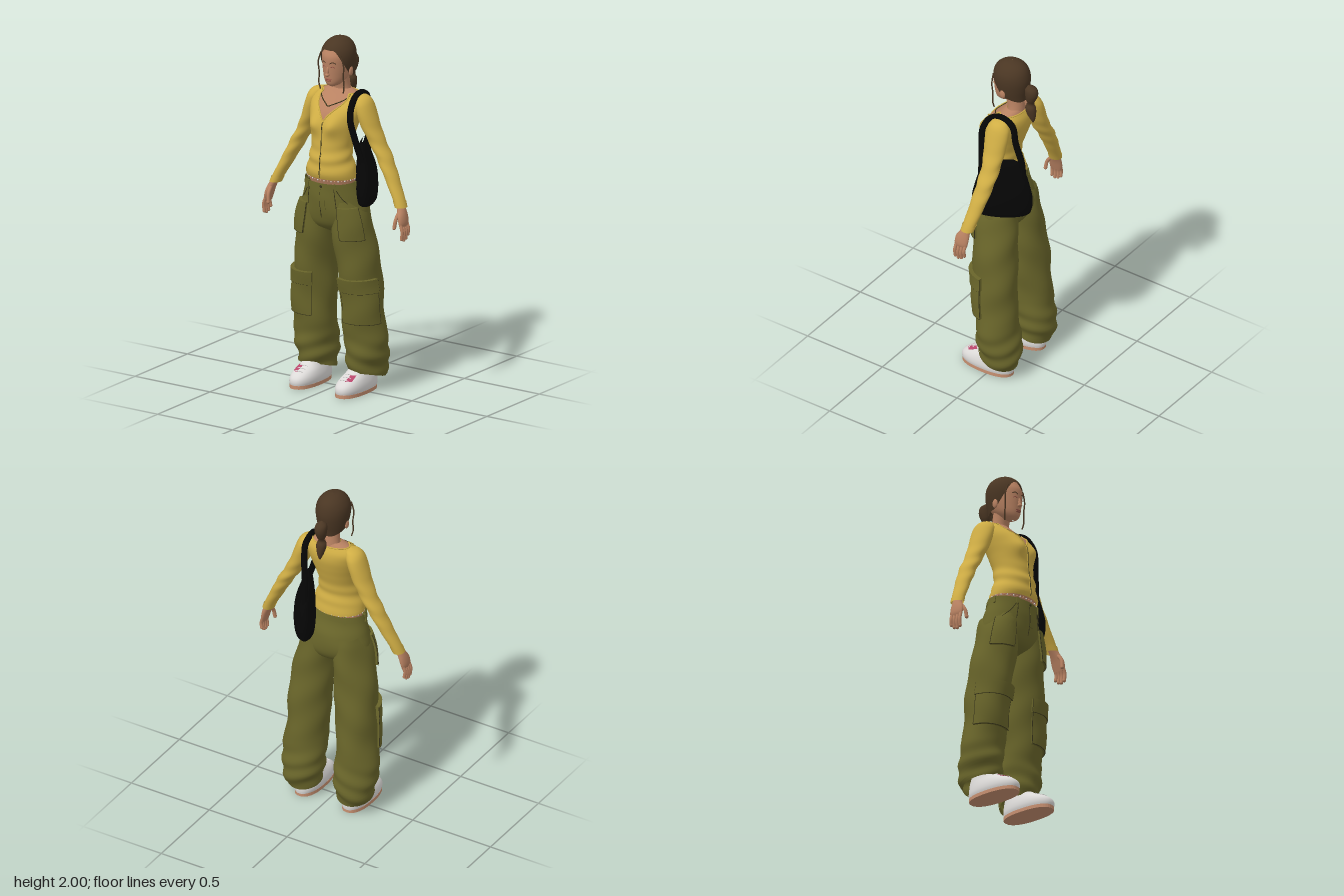
import * as THREE from 'three';
import { mergeVertices, toCreasedNormals } from 'three/addons/utils/BufferGeometryUtils.js';

const PI = Math.PI;
const V = (x, y, z) => new THREE.Vector3(x, y, z);
const mat = (name, color, side = THREE.FrontSide) => {
  const m = new THREE.MeshStandardMaterial({ color, side });
  m.name = name;
  return m;
};

// Smooth interpolation of rings [y, cx, cz, rx, rz], ordered by rising y
function sample(R, y) {
  let i = 0;
  while (i < R.length - 2 && y > R[i + 1][0]) i++;
  const p = R[i], q = R[i + 1], h = q[0] - p[0];
  const t = Math.min(1, Math.max(0, (y - p[0]) / h)), t2 = t * t, t3 = t2 * t;
  const slope = (j, k) => {
    const a = R[Math.max(j - 1, 0)], b = R[Math.min(j + 1, R.length - 1)];
    return (b[k] - a[k]) / (b[0] - a[0]);
  };
  return [1, 2, 3, 4].map(k => (2 * t3 - 3 * t2 + 1) * p[k] + (t3 - 2 * t2 + t) * h * slope(i, k)
    + (3 * t2 - 2 * t3) * q[k] + (t3 - t2) * h * slope(i + 1, k));
}

// Surface S(angle from the front, height, offset); fold adds cloth waves
function surf(R, { side = 1, fold = () => 0, bulge = () => 0, power = 1 } = {}) {
  const pw = v => Math.sign(v) * Math.abs(v) ** power;
  return (a, y, off = 0) => {
    const [cx, cz, rx, rz] = sample(R, y), o = off + fold(a * side, y);
    const x = cx * side + pw(Math.sin(a)) * Math.max(0.001, rx + o);
    const z = cz + pw(Math.cos(a)) * Math.max(0.001, rz + o);
    return V(x, y, z + (Math.cos(a) > 0 ? bulge(x, y) * Math.cos(a) : 0));
  };
}

function grid(na, ny, point) {
  const pos = [], idx = [];
  for (let j = 0; j <= ny; j++) for (let i = 0; i <= na; i++) pos.push(...point(i, j).toArray());
  for (let j = 0; j < ny; j++) for (let i = 0; i < na; i++) {
    const a = j * (na + 1) + i, b = a + 1, c = b + na + 1, d = a + na + 1;
    idx.push(a, b, c, a, c, d);
  }
  const g = new THREE.BufferGeometry();
  g.setAttribute('position', new THREE.Float32BufferAttribute(pos, 3));
  g.setIndex(idx);
  return g;
}

// Full wrap of a surface between two heights (numbers or functions of the angle)
function wrap(S, lo, hi, { na = 40, ny = 24, off = 0, dome = false } = {}) {
  const f = v => (typeof v === 'function' ? v : () => v);
  const g = mergeVertices(grid(na, ny, (i, j) => {
    const a = -PI + 2 * PI * i / na, v = j / ny, e = dome ? 1 - (1 - v) ** 2 : v;
    return S(a, f(lo)(a) + (f(hi)(a) - f(lo)(a)) * e, off);
  }), 1e-5);
  g.computeVertexNormals();
  return g;
}

// Raised patch with walls, lying on a surface
function pad(S, a0, a1, y0, y1, off, na = 16, ny = 12) {
  const c = (i, n) => Math.min(1, Math.max(0, (i - 1) / (n - 2)));
  return toCreasedNormals(grid(na, ny, (i, j) => {
    const edge = i === 0 || j === 0 || i === na || j === ny;
    return S(a0 + (a1 - a0) * c(i, na), y0 + (y1 - y0) * c(j, ny), edge ? -0.006 : off);
  }), 0.7);
}

const tube = (pts, r, n = 24) => new THREE.TubeGeometry(new THREE.CatmullRomCurve3(pts), n, r, 8);
const line = (S, pts, off, r = 0.002) => tube(pts.map(([a, y]) => S(a, y, off)), r);

export function createModel() {
  const model = new THREE.Group();
  const D = THREE.DoubleSide;
  const skin = mat('skin', 0xb98262), hair = mat('hair brown', 0x4a3623, D), knit = mat('mustard knit', 0xd0ae45, D);
  const olive = mat('olive cloth', 0x69652a, D), seam = mat('dark seam', 0x37341a), black = mat('black fabric', 0x060606);
  const white = mat('off white', 0xdcdad8), tan = mat('tan sole', 0xc68f70), pink = mat('pink', 0xb9476c), lip = mat('lips', 0x9a5a4a);
  const add = (name, geo, m) => {
    const mesh = new THREE.Mesh(geo, m);
    mesh.name = name;
    model.add(mesh);
    return mesh;
  };
  const blob = (name, m, p, s) => {
    const mesh = add(name, new THREE.SphereGeometry(1, 20, 14), m);
    mesh.position.set(...p);
    mesh.scale.set(...s);
    return mesh;
  };

  // Torso, cardigan and neck
  const bust = (x, y) => 0.036 * Math.exp(-(((Math.abs(x) - 0.065) / 0.05) ** 2) - ((y - 1.525) / 0.05) ** 2);
  const torsoRings = [
    [1.14, 0, 0.03, 0.14, 0.1], [1.21, 0, 0.042, 0.147, 0.112], [1.25, 0, 0.05, 0.148, 0.118], [1.32, 0, 0.055, 0.128, 0.11],
    [1.4, 0, 0.048, 0.117, 0.105], [1.48, 0, 0.032, 0.13, 0.113], [1.54, 0, 0.016, 0.146, 0.117], [1.6, 0, -0.002, 0.16, 0.114],
    [1.65, 0, -0.026, 0.16, 0.088], [1.685, 0, -0.037, 0.12, 0.062], [1.705, 0, -0.042, 0.065, 0.048]];
  const body = surf(torsoRings, { bulge: bust });
  const knitTorso = surf(torsoRings, {
    bulge: bust,
    fold: (a, y) => 0.004 * Math.sin(75 * y + 2 * Math.cos(a)) * Math.exp(-(((y - 1.33) / 0.07) ** 2)) });
  const neckline = a => 1.55 + 0.138 * Math.min(1, Math.abs(a) / 0.8) ** 0.9;
  add('torso', wrap(body, 1.14, 1.705, { off: -0.006, ny: 40 }), skin);
  add('cardigan', wrap(knitTorso, 1.232, neckline, { na: 64, ny: 44 }), knit);
  add('cardiganNeckTrim', tube(Array.from({ length: 49 }, (_, i) => {
    const a = -PI + 2 * PI * i / 48;
    return knitTorso(a, neckline(a));
  }), 0.004, 120), knit);
  add('cardiganHem', wrap(knitTorso, 1.225, 1.25, { off: 0.004, ny: 4 }), knit);
  add('cardiganPlacket', pad(knitTorso, -0.035, 0.035, 1.235, 1.55, 0.003, 6, 40), knit);
  add('cardiganClosure', line(knitTorso, Array.from({ length: 20 }, (_, i) => [0, 1.235 + i * 0.0163]), 0.003, 0.0025), seam);
  add('necklace', line(body, Array.from({ length: 17 }, (_, i) => {
    const u = i / 8 - 1;
    return [u * 0.9, 1.622 + 0.062 * Math.abs(u)];
  }), -0.004, 0.0028), seam);
  for (let i = 0; i < 44; i++) {
    const p = body(i / 44 * 2 * PI, 1.221 - 0.006 * Math.cos(i / 44 * 2 * PI), 0.001);
    const bead = add('waistChainBead', new THREE.SphereGeometry(0.0045, 6, 5), i % 2 ? white : tan);
    bead.position.copy(p);
  }
  const neck = surf([[1.66, 0, -0.043, 0.064, 0.052], [1.7, 0, -0.045, 0.053, 0.046], [1.74, 0, -0.038, 0.049, 0.047], [1.8, 0, -0.025, 0.05, 0.05]]);
  add('neck', wrap(neck, 1.66, 1.8, { ny: 10 }), skin);

  // Head and face
  const head = surf([
    [1.726, 0, 0.045, 0.004, 0.006], [1.734, 0, 0.036, 0.028, 0.036], [1.76, 0, 0.018, 0.054, 0.064], [1.8, 0, -0.001, 0.07, 0.088],
    [1.85, 0, -0.009, 0.079, 0.1], [1.9, 0, -0.012, 0.084, 0.103], [1.93, 0, -0.016, 0.079, 0.094], [1.96, 0, -0.018, 0.063, 0.077],
    [1.98, 0, -0.02, 0.04, 0.05], [1.99, 0, -0.02, 0.002, 0.002]]);
  add('head', wrap(head, 1.726, 1.99, { ny: 40, dome: true }), skin);
  blob('noseTip', skin, [0, 1.803, 0.094], [0.012, 0.01, 0.014]);
  blob('noseBridge', skin, [0, 1.826, 0.089], [0.008, 0.028, 0.011]).rotation.x = -0.2;
  blob('upperLip', lip, [0, 1.776, 0.085], [0.02, 0.0045, 0.007]);
  blob('lowerLip', lip, [0, 1.768, 0.083], [0.017, 0.005, 0.008]);
  for (const s of [1, -1]) {
    add('eyebrow', line(head, [[0.16 * s, 1.868], [0.38 * s, 1.876], [0.58 * s, 1.868]], 0, 0.0025), hair);
    add('eyelid', line(head, [[0.2 * s, 1.845], [0.36 * s, 1.85], [0.52 * s, 1.844]], -0.001, 0.0032), lip);
    blob('ear', skin, [0.084 * s, 1.815, -0.012], [0.009, 0.027, 0.017]);
    add('looseStrand', tube([V(0.066 * s, 1.915, 0.062), V(0.084 * s, 1.86, 0.06), V(0.08 * s, 1.79, 0.056), V(0.084 * s, 1.74, 0.055), V(0.076 * s, 1.7, 0.05)], 0.004), hair);
  }

  // Hair, combed back into a banded tail
  const hairCap = surf([
    [1.75, 0, -0.05, 0.06, 0.055], [1.79, 0, -0.025, 0.077, 0.085], [1.84, 0, -0.017, 0.088, 0.103], [1.89, 0, -0.015, 0.093, 0.11],
    [1.93, 0, -0.016, 0.088, 0.103], [1.96, 0, -0.018, 0.073, 0.088], [1.98, 0, -0.02, 0.054, 0.066], [1.993, 0, -0.02, 0.032, 0.038], [2, 0, -0.02, 0.001, 0.001]]);
  const hairline = a => 1.94 - 0.155 * THREE.MathUtils.smoothstep(Math.abs(a), 0.3, 1.65) - 0.02 * THREE.MathUtils.smoothstep(Math.abs(a), 1.6, 2.6);
  add('hair', wrap(hairCap, hairline, 2, { na: 56, ny: 36, dome: true }), hair);
  const tail = surf([
    [1.635, 0, -0.156, 0.002, 0.002], [1.65, 0, -0.155, 0.01, 0.012], [1.69, 0, -0.146, 0.023, 0.027], [1.73, 0, -0.14, 0.028, 0.03],
    [1.757, 0, -0.14, 0.016, 0.018], [1.785, 0, -0.143, 0.027, 0.029], [1.825, 0, -0.147, 0.034, 0.038], [1.86, 0, -0.142, 0.028, 0.032], [1.878, 0, -0.135, 0.003, 0.003]]);
  add('ponytail', wrap(tail, 1.635, 1.878, { na: 24, ny: 36 }), hair);
  add('hairBand', wrap(tail, 1.751, 1.763, { na: 24, ny: 4, off: 0.003 }), hair);

  // Trousers: seat, waistband and fly
  const hips = surf([
    [0.9, 0, 0.02, 0.08, 0.03], [0.94, 0, 0.02, 0.165, 0.1], [1, 0, 0.018, 0.203, 0.132], [1.1, 0, 0.027, 0.185, 0.134],
    [1.17, 0, 0.04, 0.165, 0.12], [1.225, 0, 0.045, 0.155, 0.113]], {
    fold: (a, y) => 0.002 * Math.sin(4 * a + 30 * y) });
  const waist = a => 1.21 - 0.012 * Math.cos(a);
  add('trouserSeat', wrap(hips, 0.9, waist), olive);
  add('waistband', wrap(hips, a => waist(a) - 0.032, waist, { off: 0.005, ny: 5 }), olive);
  add('fly', pad(hips, 0, 0.16, 1.05, 1.17, 0.004), olive);
  add('flySeam', line(hips, [[0, 1.0], [0, 1.08], [0, 1.19]], 0.003), seam);
  blob('waistButton', seam, hips(0.03, 1.182, 0.006).toArray(), [0.008, 0.008, 0.004]);
  for (const a of [0.55, 1.5, 2.5]) for (const s of [1, -1]) {
    const b = a * s;
    add('beltLoop', pad(hips, b - 0.035, b + 0.035, waist(b) - 0.04, waist(b) + 0.002, 0.01, 5, 5), olive);
  }

  const legRings = [
    [0.06, 0.16, -0.05, 0.086, 0.1], [0.12, 0.165, -0.055, 0.106, 0.115], [0.2, 0.166, -0.048, 0.12, 0.125], [0.3, 0.167, -0.038, 0.122, 0.12],
    [0.45, 0.158, -0.022, 0.118, 0.12], [0.6, 0.15, -0.014, 0.119, 0.125], [0.8, 0.133, 0.004, 0.117, 0.128], [0.95, 0.113, 0.016, 0.108, 0.129],
    [1.05, 0.1, 0.02, 0.094, 0.126], [1.1, 0.095, 0.02, 0.08, 0.115]];
  const legFold = (a, y) => 0.007 * Math.sin(58 * y + 2.5 * Math.sin(a)) * Math.exp(-(((y - 0.17) / 0.11) ** 2))
    + 0.003 * Math.sin(3 * a + 11 * y) + 0.003 * Math.sin(2 * a - 26 * y);
  const armRings = [
    [1.095, 0.418, -0.012, 0.03, 0.036], [1.13, 0.403, -0.017, 0.032, 0.038], [1.22, 0.355, -0.03, 0.037, 0.044], [1.33, 0.297, -0.042, 0.043, 0.05],
    [1.4, 0.256, -0.045, 0.046, 0.052], [1.47, 0.218, -0.042, 0.048, 0.058], [1.55, 0.185, -0.037, 0.05, 0.068], [1.63, 0.158, -0.035, 0.05, 0.068],
    [1.665, 0.145, -0.035, 0.044, 0.052], [1.682, 0.135, -0.035, 0.028, 0.032], [1.689, 0.128, -0.035, 0.002, 0.002]];
  const handRings = [
    [0.985, 0.45, 0.008, 0.008, 0.03], [1.01, 0.45, 0.008, 0.016, 0.041], [1.05, 0.441, 0.005, 0.02, 0.041], [1.09, 0.426, -0.004, 0.022, 0.03], [1.14, 0.402, -0.014, 0.022, 0.026]];
  const shoeRings = [
    [0.012, 0.152, 0.035, 0.068, 0.16], [0.035, 0.152, 0.036, 0.074, 0.164], [0.06, 0.152, 0.033, 0.073, 0.159], [0.085, 0.152, 0.018, 0.067, 0.142],
    [0.115, 0.152, -0.012, 0.057, 0.107], [0.16, 0.152, -0.035, 0.046, 0.07]];

  for (const s of [1, -1]) {
    const span = (a0, a1) => (s > 0 ? [a0, a1] : [-a1, -a0]);
    // Trouser legs with thigh and cargo pockets
    const leg = surf(legRings, { side: s, fold: legFold });
    add('trouserLeg', wrap(leg, a => 0.09 + 0.03 * Math.cos(a), 1.1, { na: 48, ny: 70 }), olive);
    add('trouserHem', wrap(leg, a => 0.088 + 0.03 * Math.cos(a), a => 0.11 + 0.03 * Math.cos(a), { ny: 3, off: 0.003 }), olive);
    const outline = (name, S, a0, a1, y0, y1, off) => [[[a0, y0], [a1, y0]], [[a0, y0], [a0, y1]], [[a1, y0], [a1, y1]]].forEach(([p, q]) =>
      add(name, line(S, Array.from({ length: 9 }, (_, i) => [s * (p[0] + (q[0] - p[0]) * i / 8), p[1] + (q[1] - p[1]) * i / 8]), off), seam));
    add('thighPocket', pad(leg, ...span(0.02, 1.15), 0.89, 1.07, 0.014), olive);
    outline('thighPocketSeam', leg, 0.02, 1.15, 0.89, 1.07, 0.013);
    add('cargoPocket', pad(leg, ...span(-0.42, 1.4), 0.405, 0.62, 0.014), olive);
    outline('cargoPocketSeam', leg, -0.42, 1.4, 0.405, 0.6, 0.013);
    add('cargoFlap', pad(leg, ...span(-0.46, 1.44), 0.585, 0.662, 0.022), olive);
    outline('cargoFlapSeam', leg, -0.46, 1.44, 0.585, 0.66, 0.02);
    add('slashPocketSeam', line(hips, [[0.55 * s, 1.175], [0.75 * s, 1.12], [1.1 * s, 1.06]], 0.003), seam);
    add('hipSeam', line(hips, [[0.5 * s, 1.175], [0.5 * s, 1.12], [0.5 * s, 1.065]], 0.003), seam);

    // Sleeves
    const arm = surf(armRings, { side: s, fold: (a, y) => 0.003 * Math.sin(60 * y + 2 * Math.sin(a)) * Math.exp(-(((y - 1.38) / 0.14) ** 2)) });
    add('sleeve', wrap(arm, 1.098, 1.689, { na: 28, ny: 56, dome: true }), knit);
    add('cuff', wrap(arm, 1.095, 1.125, { na: 28, ny: 4, off: 0.003 }), knit);

    // Hands
    add('palm', wrap(surf(handRings, { side: s }), 0.985, 1.14, { na: 24, ny: 16 }), skin);
    const finger = (name, pts, r) => {
      add(name, tube(pts, r, 12), skin);
      blob(name + 'Tip', skin, pts[pts.length - 1].toArray(), [r, r, r]);
    };
    for (let i = 0; i < 4; i++) {
      const z = 0.038 - i * 0.02, len = [0.082, 0.09, 0.084, 0.066][i];
      finger('finger', [V(0.448 * s, 1.015, z), V(0.462 * s, 1.01 - len * 0.5, z + 0.003), V(0.458 * s, 1.01 - len, z + 0.002)], 0.0095);
    }
    finger('thumb', [V(0.427 * s, 1.075, 0.018), V(0.425 * s, 1.035, 0.048), V(0.42 * s, 0.99, 0.056)], 0.0105);

    // Shoes
    const shoe = surf(shoeRings, { side: s, power: 0.85 });
    add('shoe', wrap(shoe, 0.012, 0.16, { ny: 20 }), white);
    const outlineShape = new THREE.Shape(Array.from({ length: 40 }, (_, i) => {
      const p = shoe(-i / 40 * 2 * PI, 0.03, -0.002);
      return new THREE.Vector2(p.x, -p.z);
    }));
    add('sole', new THREE.ExtrudeGeometry(outlineShape, { depth: 0.02, bevelEnabled: false }).rotateX(-PI / 2), tan);
    add('shoeAccent', pad(shoe, ...span(0.1, 0.6), 0.088, 0.112, 0.003), pink);
    for (let i = 0; i < 3; i++) {
      const y = 0.09 + i * 0.011;
      add('lace', line(shoe, [[-0.35, y], [0, y + 0.002], [0.35, y]], 0.003, 0.003), white);
    }
  }

  // Shoulder bag
  const bag = surf([
    [1.065, 0, 0, 0.01, 0.06], [1.075, 0, 0, 0.045, 0.135], [1.1, 0, 0, 0.058, 0.158], [1.18, 0, 0, 0.062, 0.167], [1.26, -0.002, 0, 0.055, 0.152],
    [1.34, -0.012, 0, 0.038, 0.128], [1.4, -0.018, 0, 0.022, 0.1], [1.425, -0.018, 0, 0.004, 0.06]]);
  const bagBody = add('bagBody', wrap(bag, 1.065, 1.425, { ny: 30 }), black);
  bagBody.rotation.y = PI / 6;
  bagBody.position.set(0.155, 0, -0.06);
  add('bagStrap', tube([
    V(0.205, 1.31, 0.045), V(0.168, 1.45, 0.068), V(0.142, 1.58, 0.08), V(0.131, 1.665, 0.03), V(0.128, 1.692, -0.035),
    V(0.125, 1.66, -0.105), V(0.12, 1.55, -0.125), V(0.1, 1.42, -0.15), V(0.095, 1.31, -0.16)], 0.018, 60), black);

  return model;
}
